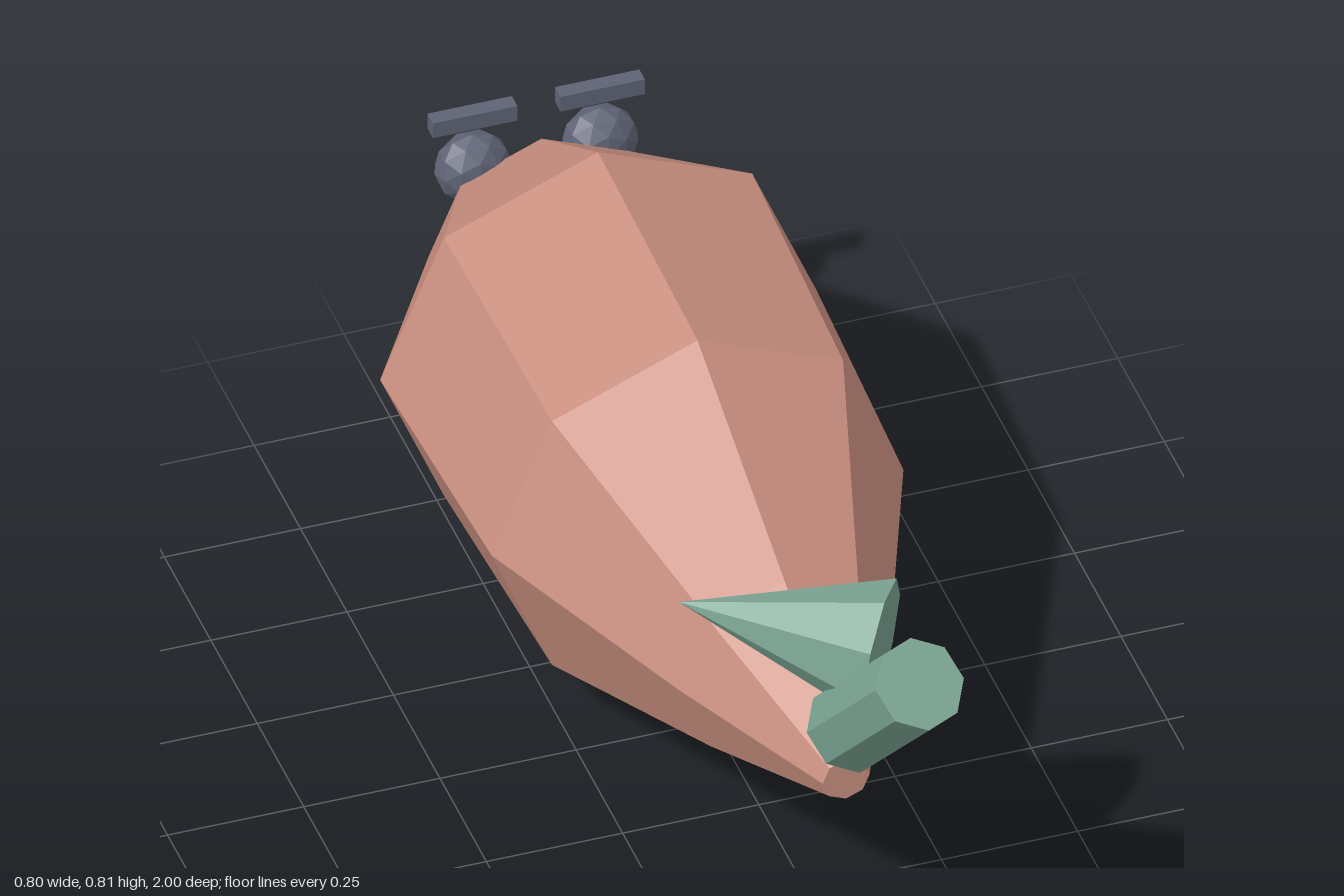
import * as THREE from 'three';

const flat = (name, color) => {
  const m = new THREE.MeshStandardMaterial({ color });
  m.name = name;
  m.flatShading = true;
  return m;
};

export function createModel() {
  const group = new THREE.Group();
  const skin = flat('dusty pink', 0xc98f80);
  const green = flat('sage green', 0x7ba493);
  const slate = flat('slate grey', 0x5f6375);

  const add = (name, geometry, material, x, y, z) => {
    const mesh = new THREE.Mesh(geometry, material);
    mesh.name = name;
    mesh.position.set(x, y, z);
    group.add(mesh);
    return mesh;
  };

  // Eight-sided body, closed at both ends: [radius, z]
  const profile = [[0, -0.92], [0.207, -0.92], [0.4, -0.615], [0.378, -0.08],
    [0.192, 0.39], [0.043, 0.72], [0, 0.72]].map(([r, z]) => new THREE.Vector2(r, z));
  add('body', new THREE.LatheGeometry(profile, 8).rotateX(Math.PI / 2), skin, 0, 0.4, 0);

  // Stem and cone: tapered solids spanning two points
  const span = (name, from, to, rTop, rBottom) => {
    const a = new THREE.Vector3(...from), b = new THREE.Vector3(...to);
    const dir = b.clone().sub(a), mid = a.clone().add(b).multiplyScalar(0.5);
    const mesh = add(name, new THREE.CylinderGeometry(rTop, rBottom, dir.length(), 8),
      green, mid.x, mid.y, mid.z);
    mesh.quaternion.setFromUnitVectors(new THREE.Vector3(0, 1, 0), dir.normalize());
  };
  span('stem', [0.016, 0.495, 0.698], [0.059, 0.756, 0.943], 0.083, 0.083);
  span('cone', [0.075, 0.645, 0.69], [-0.23, 0.68, 0.493], 0, 0.126);

  // Face on the rear end: eyes, brows and mouth
  for (const [side, s] of [['left', 1], ['right', -1]]) {
    const eye = add(side + 'Eye', new THREE.IcosahedronGeometry(0.07, 1), slate, s * 0.117, 0.556, -0.947);
    eye.scale.z = 0.75;
    add(side + 'Brow', new THREE.BoxGeometry(0.155, 0.032, 0.03), slate, s * 0.117, 0.663, -0.948);
  }
  add('mouth', new THREE.BoxGeometry(0.15, 0.042, 0.032), slate, 0, 0.31, -0.95);

  return group;
}
